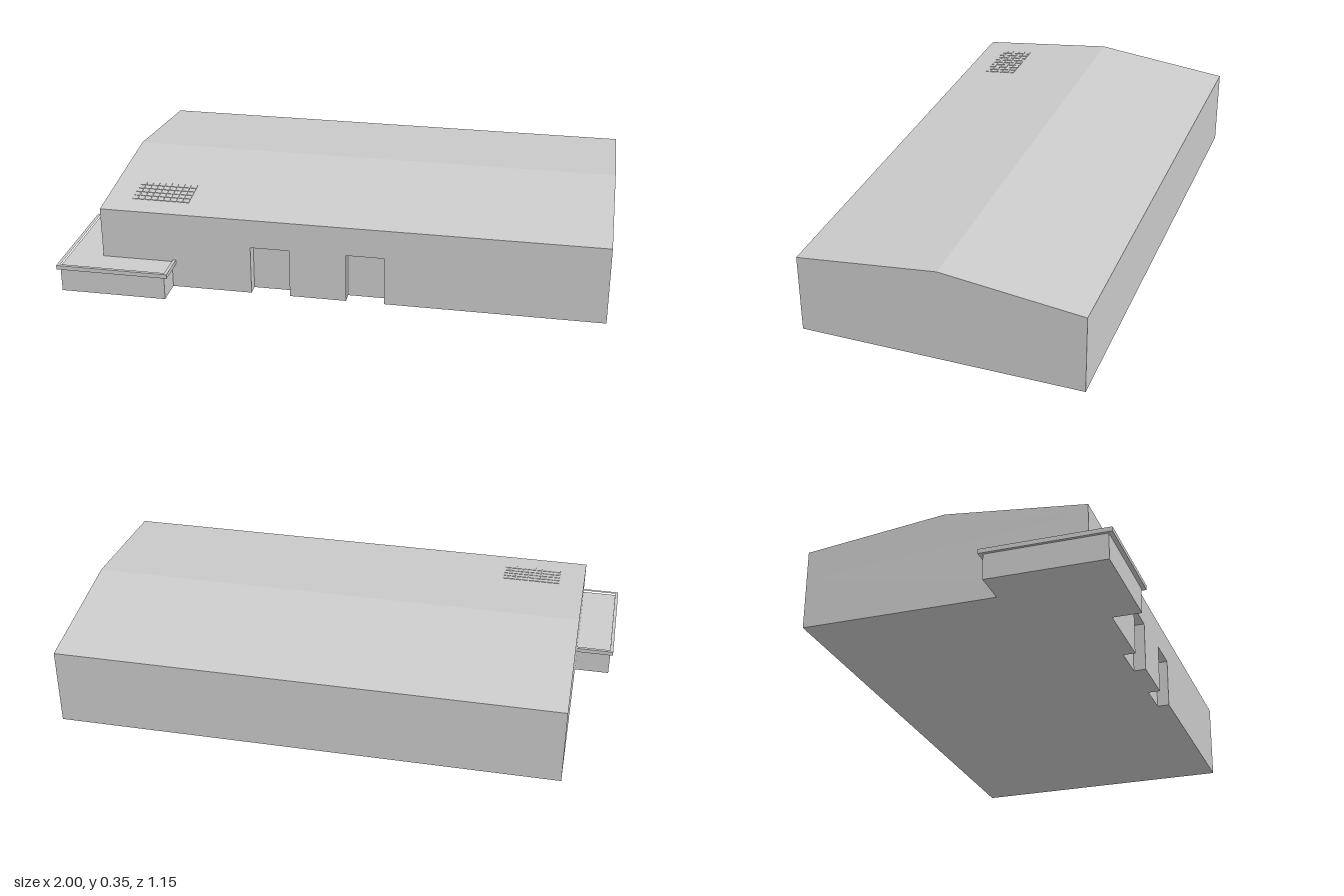
import * as THREE from 'three';

const material = new THREE.MeshStandardMaterial({ color: 0xcccccc, flatShading: true });

// Hall extents
const X0 = -0.86, X1 = 1.0, BACK = -0.575, FRONT = 0.455;
const RIDGE_Z = -0.06, EAVE = 0.295, RIDGE = 0.353, ROOF = 0.033;
const DOOR_H = 0.185, DOOR_DEPTH = 0.045;

function add(parent, name, geometry) {
  const mesh = new THREE.Mesh(geometry, material);
  mesh.name = name;
  parent.add(mesh);
  return mesh;
}

function box(x0, x1, y0, y1, z0, z1) {
  return new THREE.BoxGeometry(x1 - x0, y1 - y0, z1 - z0)
    .translate((x0 + x1) / 2, (y0 + y1) / 2, (z0 + z1) / 2);
}

const shapeOf = (points) => new THREE.Shape(points.map(([a, b]) => new THREE.Vector2(a, b)));
const extrude = (shape, depth) => new THREE.ExtrudeGeometry(shape, { depth, bevelEnabled: false });

// Profile of [z, y] points swept along the length of the hall
function sweepX(points) {
  return extrude(shapeOf(points.map(([z, y]) => [-z, y])), X1 - X0)
    .rotateY(Math.PI / 2).translate(X0, 0, 0);
}

// Plan of [x, z] points raised from y0 to y1, with an optional hole
function raise(points, y0, y1, hole) {
  const shape = shapeOf(points.map(([x, z]) => [x, -z]));
  if (hole) shape.holes.push(shapeOf(hole.map(([x, z]) => [x, -z])));
  return extrude(shape, y1 - y0).rotateX(-Math.PI / 2).translate(0, y0, 0);
}

const rect = (x0, x1, z0, z1) => [[x0, z0], [x1, z0], [x1, z1], [x0, z1]];

export function createModel() {
  const model = new THREE.Group();
  model.name = 'hall';

  // Lower walls, notched at the two recessed doorways
  const plan = [[X1, FRONT], [X1, BACK], [X0, BACK], [X0, FRONT]];
  for (const [a, b] of [[-0.295, -0.15], [0.06, 0.2]]) {
    plan.push([a, FRONT], [a, FRONT - DOOR_DEPTH], [b, FRONT - DOOR_DEPTH], [b, FRONT]);
  }
  add(model, 'lowerWalls', raise(plan, 0, DOOR_H));

  // Upper walls with gable ends
  add(model, 'upperWalls', sweepX([
    [FRONT, DOOR_H], [FRONT, EAVE - ROOF], [RIDGE_Z, RIDGE - ROOF],
    [BACK, EAVE - ROOF], [BACK, DOOR_H],
  ]));

  // Low pitched roof slab
  add(model, 'roof', sweepX([
    [FRONT, EAVE - ROOF], [FRONT, EAVE], [RIDGE_Z, RIDGE], [BACK, EAVE],
    [BACK, EAVE - ROOF], [RIDGE_Z, RIDGE - ROOF],
  ]));

  // Corner annex with a flat, rimmed roof
  const annex = new THREE.Group();
  annex.name = 'annex';
  model.add(annex);
  add(annex, 'annexWalls', box(-0.99, -0.595, 0, 0.093, 0.135, 0.56));
  add(annex, 'annexRoof', box(-0.988, -0.592, 0.093, 0.102, 0.132, 0.563));
  add(annex, 'annexRim', raise(rect(-1, -0.58, 0.12, 0.575), 0.093, 0.109,
    rect(-0.988, -0.592, 0.132, 0.563)));

  // Grid of thin panels lying on the front roof slope
  const panels = new THREE.Group();
  panels.name = 'roofPanels';
  const slope = (RIDGE - EAVE) / (FRONT - RIDGE_Z);
  const midZ = 0.305, cols = 9, rows = 5, px = 0.0245, pz = 0.026;
  panels.position.set(-0.655, EAVE + (FRONT - midZ) * slope + 0.001, midZ);
  panels.rotation.x = Math.atan(slope);
  const panel = new THREE.BoxGeometry(px * 0.85, 0.002, pz * 0.85);
  for (let r = 0; r < rows; r++) {
    for (let c = 0; c < cols; c++) {
      add(panels, 'panel', panel)
        .position.set((c - (cols - 1) / 2) * px, 0, (r - (rows - 1) / 2) * pz);
    }
  }
  model.add(panels);

  return model;
}
